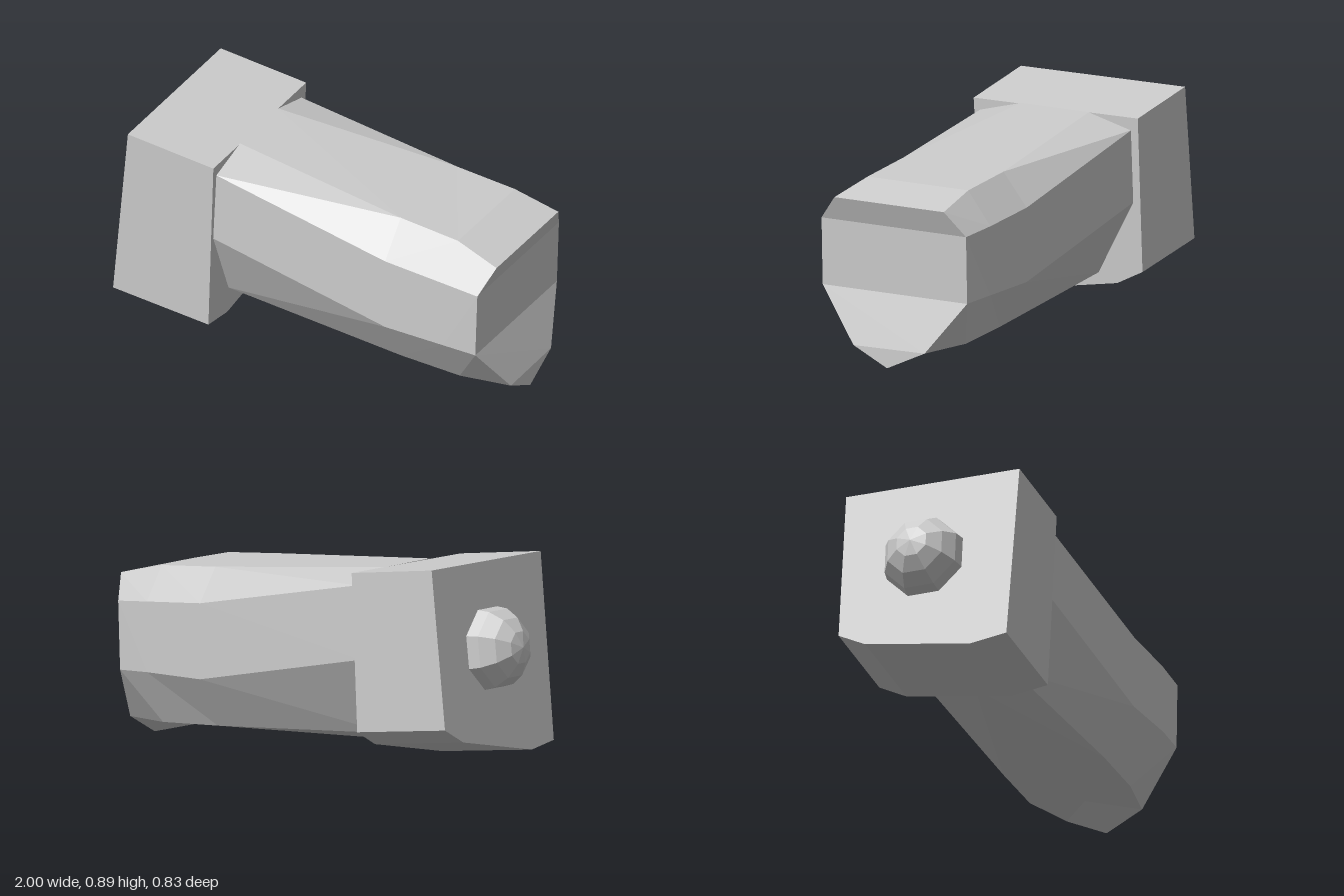
import * as THREE from 'three';

const material = new THREE.MeshStandardMaterial({ color: 0xcccccc, flatShading: true });

// Skins rings of [x, y, z] points, ordered from -x to +x, and closes both ends.
function loft(rings) {
  const positions = [];
  const tri = (a, b, c) => positions.push(...a, ...b, ...c);
  const n = rings[0].length;

  for (let r = 0; r < rings.length - 1; r++) {
    const a = rings[r], b = rings[r + 1];
    for (let i = 0; i < n; i++) {
      const j = (i + 1) % n;
      // mirror the diagonals between the two sides
      if (i < n / 2 - 0.5) {
        tri(a[i], a[j], b[i]);
        tri(a[j], b[j], b[i]);
      } else {
        tri(a[i], a[j], b[j]);
        tri(a[i], b[j], b[i]);
      }
    }
  }

  // end caps made of horizontal strips, so that a notched end folds cleanly
  const cap = (ring, flip) => {
    for (let i = 0; i < n - 2 - i; i++) {
      const [p, q, s, t] = [ring[i], ring[i + 1], ring[n - 2 - i], ring[n - 1 - i]];
      if (flip) { tri(p, s, q); tri(p, t, s); }
      else { tri(p, q, s); tri(p, s, t); }
    }
  };
  cap(rings[0], true);
  cap(rings[rings.length - 1], false);

  const geometry = new THREE.BufferGeometry();
  geometry.setAttribute('position', new THREE.Float32BufferAttribute(positions, 3));
  geometry.computeVertexNormals();
  return geometry;
}

// Places a [z, y] outline at an x that may depend on y.
const section = (outline, xAt, dy = 0) => outline.map(([z, y]) => [xAt(y), y + dy, z]);

export function createModel() {
  const group = new THREE.Group();
  const add = (name, geometry) => {
    const mesh = new THREE.Mesh(geometry, material);
    mesh.name = name;
    group.add(mesh);
    return mesh;
  };

  // Collar block, leaning slightly, with a chamfered underside
  const collar = [[0.39, 0.845], [0.365, 0.04], [0.2, 0.017], [-0.29, 0.103], [-0.415, 0.168], [-0.41, 0.852]];
  const collarFront = (y) => -0.41 + 0.048 * (y - 0.02);
  const collarBack = (y) => -0.88 + 0.108 * (y - 0.02);
  add('collar', loft([section(collar, collarBack, 0.045), section(collar, collarFront)]));

  // Faceted body: top edge, shoulders, lower sides and keel
  const base = [[0.16, 0.85], [0.36, 0.795], [0.36, 0.475], [0.2, 0.14], [0.03, 0.08],
    [-0.2, 0.14], [-0.378, 0.475], [-0.375, 0.795], [-0.17, 0.85]];
  const middle = [[0.265, 0.79], [0.4, 0.643], [0.4, 0.315], [0.262, 0.1], [0.05, 0.065],
    [-0.203, 0.1], [-0.335, 0.315], [-0.335, 0.643], [-0.222, 0.788]];
  const neck = [[0.28, 0.77], [0.413, 0.628], [0.415, 0.32], [0.265, 0.088], [0.055, 0.056],
    [-0.2, 0.092], [-0.318, 0.32], [-0.318, 0.625], [-0.21, 0.77]];
  // notched far end, each point with its own x
  const tip = [[0.985, 0.722, 0.325], [0.94, 0.612, 0.412], [0.93, 0.315, 0.412], [0.998, 0.085, 0.225],
    [1, 0.003, 0.06], [0.998, 0.09, -0.122], [0.93, 0.315, -0.292], [0.94, 0.612, -0.292], [0.985, 0.722, -0.208]];
  add('body', loft([
    section(base, (y) => collarFront(y) - 0.002),
    section(middle, () => 0.48),
    section(neck, () => 0.77),
    tip,
  ]));

  // Eight-sided domed knob on the back of the collar
  const dome = new THREE.SphereGeometry(0.19, 8, 4, 0, Math.PI * 2, 0, Math.PI / 2);
  dome.rotateY(Math.PI / 8);
  dome.rotateZ(Math.PI / 2 - 0.1);
  add('knob', dome).position.set(-0.811, 0.52, -0.03);

  return group;
}
